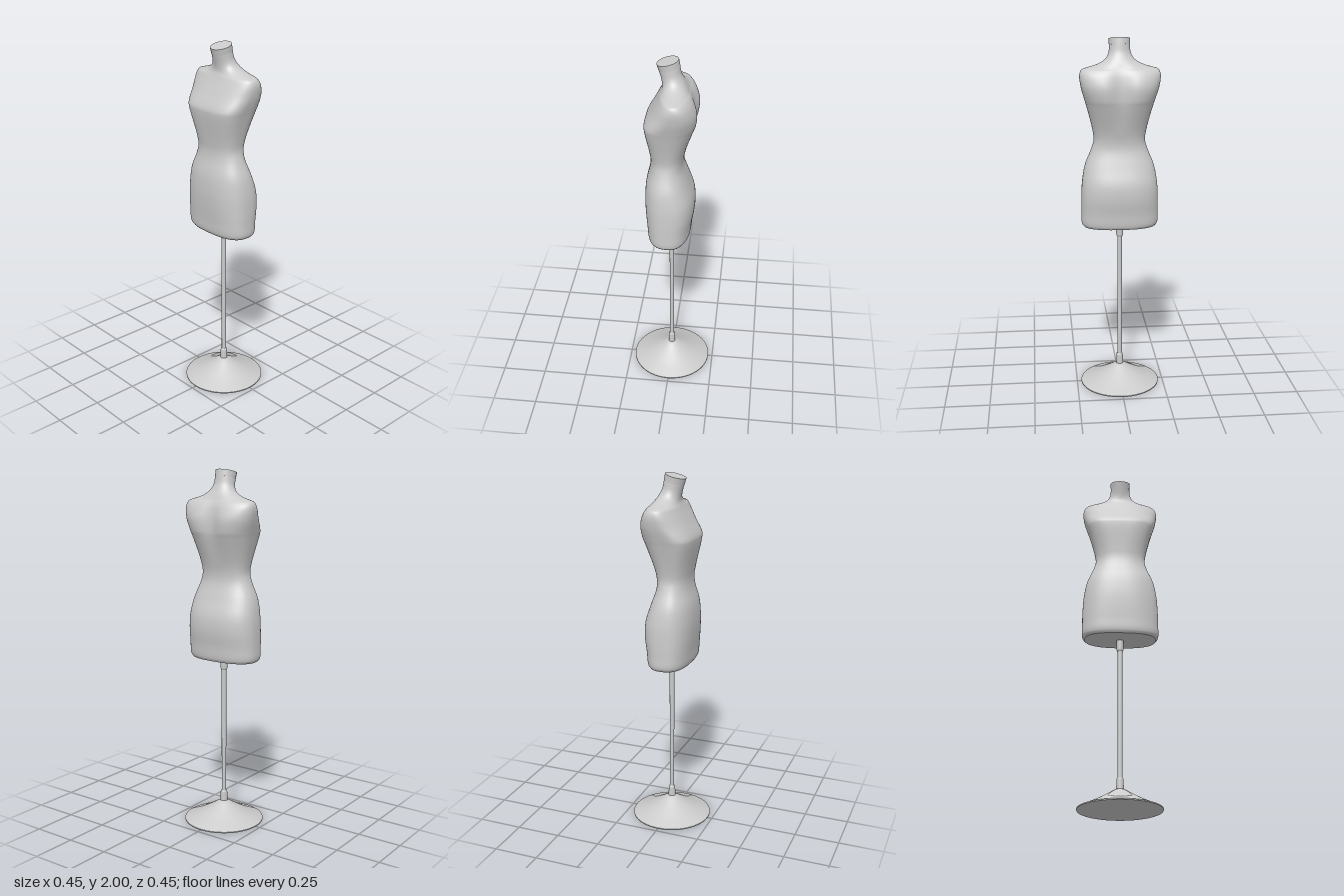
import * as THREE from 'three';

const grey = new THREE.MeshStandardMaterial({ color: 0xcccccc });

function addMesh(parent, name, geometry) {
  const mesh = new THREE.Mesh(geometry, grey);
  mesh.name = name;
  parent.add(mesh);
  return mesh;
}

const lathe = (points, segments = 48) =>
  new THREE.LatheGeometry(points.map(([r, y]) => new THREE.Vector2(r, y)), segments);

// Torso sections: y, half width, front z, back z, squareness
const SECTIONS = [
  [0.955, 0.198, 0.113, -0.097, 2.7],
  [0.972, 0.211, 0.123, -0.106, 2.7],
  [1.04, 0.213, 0.13, -0.114, 2.7],
  [1.13, 0.212, 0.138, -0.127, 2.6],
  [1.21, 0.207, 0.141, -0.123, 2.5],
  [1.3, 0.19, 0.135, -0.094, 2.4],
  [1.39, 0.154, 0.115, -0.067, 2.3],
  [1.44, 0.141, 0.111, -0.066, 2.4],
  [1.5, 0.148, 0.118, -0.079, 2.6],
  [1.64, 0.183, 0.139, -0.131, 3.4],
  [1.67, 0.192, 0.138, -0.142, 3.4],
  [1.74, 0.211, 0.102, -0.146, 2.7],
  [1.8, 0.217, 0.071, -0.124, 2.4],
  [1.828, 0.206, 0.058, -0.106, 2.2],
  [1.838, 0.18, 0.054, -0.098, 2],
  [1.85, 0.138, 0.05, -0.09, 2],
  [1.866, 0.1, 0.049, -0.079, 2],
  [1.886, 0.074, 0.051, -0.065, 2],
  [1.912, 0.06, 0.056, -0.05, 2],
  [1.952, 0.055, 0.067, -0.041, 2],
];

// Point of a section at an angle around the body: a superellipse with a
// spine groove between the shoulder blades, leaning forward at the neck
function sectionPoint([y, w, front, back, square], angle) {
  const c = Math.cos(angle), s = Math.sin(angle);
  const n = s >= 0 ? square : Math.min(square, 2.4);
  const middle = (front + back) / 2;
  const x = w * Math.sign(c) * Math.abs(c) ** (2 / n);
  const offset = ((front - back) / 2) * Math.sign(s) * Math.abs(s) ** (2 / n);
  const groove = 0.029 * Math.exp(-(((y - 1.72) / 0.11) ** 2) - (x / 0.06) ** 2);
  const tilt = 0.24 * THREE.MathUtils.smoothstep(y, 1.84, 1.94);
  return new THREE.Vector3(x, y - tilt * offset, middle + offset + groove * Math.max(0, -s));
}

// Smooth skin through all sections, closed by a flat underside
function torsoGeometry(around = 128, along = 96) {
  const positions = [], index = [];
  for (let i = 0; i < around; i++) {
    const angle = (i / around) * Math.PI * 2;
    const curve = new THREE.CatmullRomCurve3(SECTIONS.map((s) => sectionPoint(s, angle)));
    for (let j = 0; j <= along; j++) positions.push(...curve.getPoint(j / along).toArray());
  }
  const row = along + 1;
  for (let i = 0; i < around; i++) {
    const a = i * row, b = ((i + 1) % around) * row;
    for (let j = 0; j < along; j++) {
      index.push(a + j, a + j + 1, b + j, b + j, a + j + 1, b + j + 1);
    }
  }
  // Underside with its own vertices so its edge stays sharp
  const centre = positions.length / 3;
  positions.push(0, SECTIONS[0][0], 0);
  for (let i = 0; i < around; i++) {
    positions.push(...sectionPoint(SECTIONS[0], (i / around) * Math.PI * 2).toArray());
    index.push(centre, centre + 1 + i, centre + 1 + ((i + 1) % around));
  }
  const geometry = new THREE.BufferGeometry();
  geometry.setAttribute('position', new THREE.Float32BufferAttribute(positions, 3));
  geometry.setIndex(index);
  geometry.computeVertexNormals();
  return geometry;
}

export function createModel() {
  const model = new THREE.Group();
  model.name = 'dressForm';

  addMesh(model, 'torso', torsoGeometry());

  // Tilted neck cap
  const cap = addMesh(model, 'neckCap', new THREE.CylinderGeometry(0.058, 0.056, 0.035, 48));
  cap.position.set(0, 1.968, 0.017);
  cap.rotation.x = 0.24;

  // Pole with a collar at each end
  const pole = addMesh(model, 'pole', new THREE.CylinderGeometry(0.013, 0.013, 0.85, 24));
  pole.position.y = 0.53;
  const collar = [[0.02, 0], [0.019, 0.055], [0.017, 0.064], [0.013, 0.066]];
  addMesh(model, 'lowerCollar', lathe(collar, 24)).position.y = 0.105;
  const upper = addMesh(model, 'upperCollar', lathe(collar, 24));
  upper.position.y = 0.957;
  upper.rotation.x = Math.PI;

  // Flared round base: slope, rim and underside
  const base = new THREE.Group();
  base.name = 'base';
  model.add(base);
  const slope = new THREE.SplineCurve([
    [0.225, 0.006], [0.15, 0.039], [0.08, 0.077], [0.035, 0.104], [0.018, 0.111],
  ].map(([r, y]) => new THREE.Vector2(r, y)));
  addMesh(base, 'baseSlope', new THREE.LatheGeometry(slope.getPoints(16), 64));
  addMesh(base, 'baseRim', lathe([[0.225, 0], [0.225, 0.006]], 64));
  addMesh(base, 'baseUnderside', lathe([[0, 0], [0.225, 0]], 64));

  return model;
}
